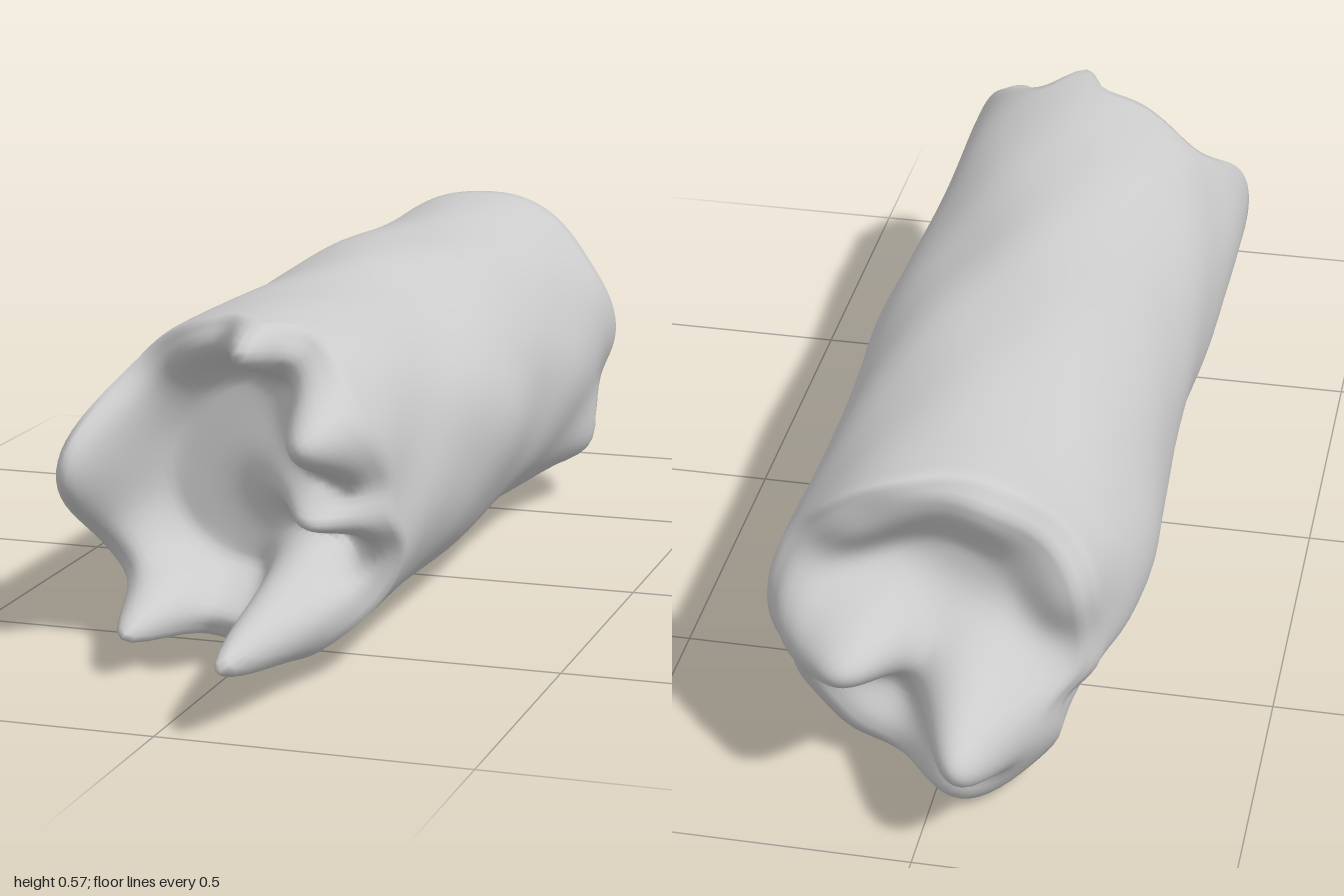
import * as THREE from 'three';
import { mergeVertices } from 'three/addons/utils/BufferGeometryUtils.js';

const SIDES = 112, RINGS = 26, CENTRE_Y = 0.288;
const rad = THREE.MathUtils.degToRad;
const { lerp, smoothstep } = THREE.MathUtils;

// Splinters on each end: [x, y from the log's axis, reach, radial width, tangential width]
const frontSplinters = [
  [0.105, -0.17, 1.0, 0.065, 0.06], [0.17, 0.125, 0.82, 0.085, 0.085], [0.16, -0.01, 0.74, 0.08, 0.042],
  [-0.155, -0.22, 0.74, 0.06, 0.055], [-0.27, 0.03, 0.69, 0.06, 0.12], [0.03, 0.24, 0.7, 0.05, 0.045],
];
const backSplinters = [
  [-0.07, -0.108, 1.0, 0.105, 0.085], [0.13, -0.01, 0.92, 0.105, 0.08],
  [-0.05, -0.235, 0.87, 0.07, 0.09], [0.09, 0.25, 0.79, 0.07, 0.12],
];

// Knots and hollows in the bark: [angle in degrees, z, height, angular width, length]
const knots = [
  [-34, -0.65, 0.035, 0.2, 0.13], [180, -0.5, 0.012, 0.5, 0.14], [172, 0.62, 0.01, 0.4, 0.15],
  [175, -0.8, -0.03, 0.5, 0.12], [-150, -0.78, -0.04, 0.2, 0.24], [5, -0.45, 0.01, 0.4, 0.15],
  [-90, 0.66, -0.02, 0.5, 0.16], [60, 0.05, -0.008, 0.6, 0.2], [-15, -0.8, -0.02, 0.22, 0.12],
  [5, 0.0, 0.009, 0.4, 0.12], [3, 0.62, -0.02, 0.3, 0.14],
];

const angleBetween = (a, b) => Math.atan2(Math.sin(a - b), Math.cos(a - b));

function barkRadius(a, z) {
  let r = 0.279 + 0.003 * Math.sin(3 * a + 1) * Math.cos(5 * z) + 0.003 * Math.cos(9 * z + a)
    + 0.003 * Math.sin(5 * a) * Math.sin(8 * z + 1) + 0.002 * Math.sin(8 * a + 2) * Math.cos(13 * z);
  for (const [deg, at, height, width, length] of knots) {
    r += height * Math.exp(-((angleBetween(a, rad(deg)) / width) ** 2) - ((z - at) / length) ** 2);
  }
  return r;
}

// How far an end reaches at a point given by angle and share k of the radius
function endReach(a, k, r, front) {
  const c = Math.cos(a), x = r * k * c, y = r * k * Math.sin(a);
  const notch = Math.exp(-((angleBetween(a, rad(-38)) / 0.25) ** 2));
  const edge = (front ? 0.575 + 0.035 * c : 0.77 + 0.01 * c - 0.035 * notch) + 0.01 * Math.sin(7 * a + 1);
  const floor = front
    ? 0.475 + 0.07 * Math.exp(-(((x - 0.07) / 0.08) ** 2) - ((y - 0.01) / 0.07) ** 2)
    : 0.725 - 0.1 * x;
  const wall = front ? smoothstep(k, 0.56, 0.86) : smoothstep(k, 0.45, 0.82);
  let reach = lerp(floor, edge, wall) - (front ? 0.015 : 0.03) * smoothstep(k, 0.88, 1);
  for (const [sx, sy, tip, radial, tangential] of front ? frontSplinters : backSplinters) {
    const d = Math.hypot(sx, sy), ux = sx / d, uy = sy / d;
    const along = ((x - sx) * ux + (y - sy) * uy) / radial;
    const across = ((y - sy) * ux - (x - sx) * uy) / tangential;
    reach += Math.max(0, tip - reach) * Math.exp(-((along ** 2 + across ** 2) ** 1.1));
  }
  return reach;
}

// One end from the bark to the middle of the hollow, as [radius, z] pairs
function endProfile(a, side) {
  const front = side > 0, start = front ? 0.48 : 0.6;
  const r = barkRadius(a, side * (front ? 0.6 : 0.77));
  const rim = endReach(a, 1, r, front);
  const points = [];
  for (let i = 1; i <= 6; i++) {
    const z = side * lerp(start, rim, i / 6);
    points.push([lerp(barkRadius(a, z), r, (i / 6) ** 2), z]);
  }
  for (let i = RINGS - 1; i >= 0; i--) {
    const k = i / RINGS;
    points.push([r * k, side * endReach(a, k, r, front)]);
  }
  return points;
}

export function createModel() {
  const group = new THREE.Group();
  group.name = 'brokenLog';
  const positions = [], indices = [];
  let rows = 0;

  // Every column runs from the back hollow, along the bark, into the front hollow
  for (let j = 0; j < SIDES; j++) {
    const a = (j / SIDES) * Math.PI * 2;
    const column = endProfile(a, -1).reverse();
    for (let i = 0; i <= 24; i++) {
      const z = lerp(-0.6, 0.48, i / 24);
      column.push([barkRadius(a, z), z]);
    }
    column.push(...endProfile(a, 1));
    rows = column.length;
    for (const [r, z] of column) {
      positions.push(r * Math.cos(a), Math.max(0, CENTRE_Y + r * Math.sin(a)), z);
    }
  }
  for (let j = 0; j < SIDES; j++) {
    const next = (j + 1) % SIDES;
    for (let i = 0; i < rows - 1; i++) {
      const p = j * rows + i, q = next * rows + i;
      indices.push(p, q, q + 1, p, q + 1, p + 1);
    }
  }

  let geometry = new THREE.BufferGeometry();
  geometry.setAttribute('position', new THREE.Float32BufferAttribute(positions, 3));
  geometry.setIndex(indices);
  geometry = mergeVertices(geometry, 1e-5);
  geometry.computeVertexNormals();

  const log = new THREE.Mesh(geometry, new THREE.MeshStandardMaterial({ color: 0xcccccc }));
  log.name = 'splinteredTrunk';
  group.add(log);
  return group;
}
